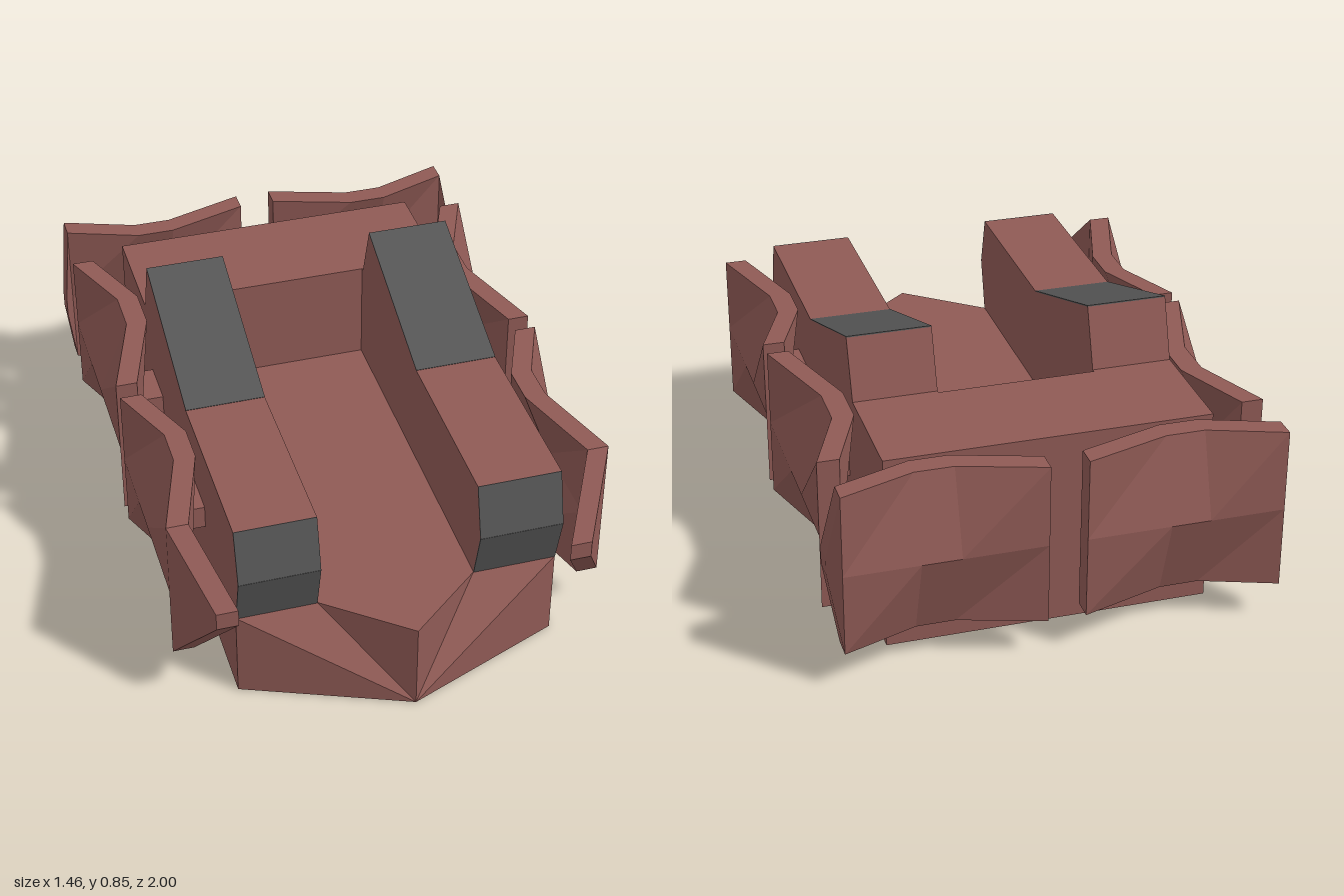
import * as THREE from 'three';

const HALF = 0.523, DECK = 0.305, ROOF = 0.655;
const red = new THREE.MeshStandardMaterial({ color: 0x8f5a55 });
const grey = new THREE.MeshStandardMaterial({ color: 0x555555 });

function add(parent, name, geometry, material, x = 0, y = 0, z = 0) {
  const mesh = new THREE.Mesh(geometry, material);
  mesh.name = name;
  mesh.position.set(x, y, z);
  parent.add(mesh);
  return mesh;
}

// Box given by its limits on each axis
function block(parent, name, [x0, x1], [y0, y1], [z0, z1]) {
  const geometry = new THREE.BoxGeometry(x1 - x0, y1 - y0, z1 - z0);
  return add(parent, name, geometry, red, (x0 + x1) / 2, (y0 + y1) / 2, (z0 + z1) / 2);
}

function facets(points, index) {
  const indexed = new THREE.BufferGeometry();
  indexed.setAttribute('position', new THREE.Float32BufferAttribute(points.flat(), 3));
  indexed.setIndex(index);
  const geometry = indexed.toNonIndexed();
  geometry.computeVertexNormals();
  return geometry;
}

// Armour plate facing +x, with notched-in top and bottom edges.
// Each column: [z, half height, x at the edges, x at mid height]
function plateGeometry(columns) {
  const t = 0.07, points = [], index = [];
  for (const [z, h, edge, mid] of columns) {
    points.push([edge, -h, z], [mid, 0, z], [edge, h, z],
      [edge - t, h, z], [mid - t, 0, z], [edge - t, -h, z]);
  }
  for (let i = 0; i < columns.length - 1; i++) {
    for (let k = 0; k < 6; k++) {
      const a = i * 6 + k, b = i * 6 + (k + 1) % 6;
      index.push(a, b, a + 6, b, b + 6, a + 6);
    }
  }
  const e = (columns.length - 1) * 6;
  for (const [a, b, c, d] of [[0, 1, 4, 5], [1, 2, 3, 4]]) {
    index.push(a, c, b, a, d, c);
    index.push(e + a, e + b, e + c, e + a, e + c, e + d);
  }
  return facets(points, index);
}

// Raised side pod: extruded side profile with grey front and sloped faces
function pod(name, x0, x1) {
  const group = new THREE.Group();
  group.name = name;
  const profile = [[-0.44, DECK], [0.79, DECK], [0.835, 0.48], [0.79, ROOF],
    [0.175, ROOF], [-0.365, 0.85], [-0.43, ROOF], [-0.44, ROOF]];
  const shape = new THREE.Shape(profile.map(([z, y]) => new THREE.Vector2(z, y)));
  const body = new THREE.ExtrudeGeometry(shape, { depth: x1 - x0, bevelEnabled: false });
  add(group, 'podBody', body.rotateY(-Math.PI / 2), red, x1);
  for (const [label, i] of [['lowerFrontFace', 1], ['upperFrontFace', 2], ['slopedFace', 4]]) {
    const [za, ya] = profile[i], [zb, yb] = profile[i + 1];
    const length = Math.hypot(zb - za, yb - ya);
    const face = add(group, label, new THREE.BoxGeometry(x1 - x0, 0.004, length), grey,
      (x0 + x1) / 2, (ya + yb) / 2, (za + zb) / 2);
    face.rotation.x = -Math.atan2(yb - ya, zb - za);
  }
  return group;
}

export function createModel() {
  const model = new THREE.Group();
  model.name = 'hull';

  // Base, raised rear and pointed nose
  block(model, 'base', [-HALF, HALF], [0, DECK], [-0.81, 0.79]);
  block(model, 'rearBlock', [-HALF, HALF], [DECK, ROOF], [-0.81, -0.44]);
  add(model, 'nose', facets([
    [0, 0, 1], [0, DECK, 1], [-HALF, 0, 0.79], [-HALF, DECK, 0.79],
    [-0.262, DECK, 0.79], [0.25, DECK, 0.79], [HALF, DECK, 0.79], [HALF, 0, 0.79],
  ], [0, 7, 6, 0, 6, 5, 0, 5, 1, 0, 1, 4, 0, 4, 3, 0, 3, 2, 1, 5, 4, 0, 2, 7]), red);

  model.add(pod('leftPod', 0.25, HALF), pod('rightPod', -HALF, -0.262));

  // Armour plates; each is symmetric in height, so a half turn mirrors it
  const plates = {
    frontSidePlate: plateGeometry([[0.045, 0.255, 0.71, 0.71], [0.27, 0.255, 0.615, 0.71],
      [0.4, 0.255, 0.615, 0.71], [0.71, 0.255, 0.71, 0.71], [0.885, 0.03, 0.605, 0.605]]),
    rearSidePlate: plateGeometry([[-0.755, 0.255, 0.71, 0.71], [-0.5, 0.255, 0.605, 0.71],
      [-0.35, 0.255, 0.605, 0.71], [-0.02, 0.255, 0.71, 0.71]]),
    backPlate: plateGeometry([[0.06, 0.27, 1, 1], [0.33, 0.27, 0.915, 1],
      [0.455, 0.27, 0.915, 1], [0.695, 0.27, 1, 1], [0.728, 0.03, 0.925, 0.925]])
      .rotateY(Math.PI / 2),
  };
  for (const [name, geometry] of Object.entries(plates)) {
    add(model, name + 'Left', geometry, red, 0, 0.395);
    add(model, name + 'Right', geometry, red, 0, 0.395).rotation.z = Math.PI;
  }

  // Mounts joining the plates to the hull
  for (const s of [-1, 1]) {
    const span = (a, b) => (s > 0 ? [a, b] : [-b, -a]);
    block(model, 'frontSideMount', span(0.5, 0.66), [0.355, 0.435], [0.255, 0.4]);
    block(model, 'rearSideMount', span(0.5, 0.66), [0.355, 0.435], [-0.36, -0.2]);
    block(model, 'backMount', span(0.33, 0.455), [0.355, 0.435], [-0.95, -0.79]);
  }
  return model;
}
